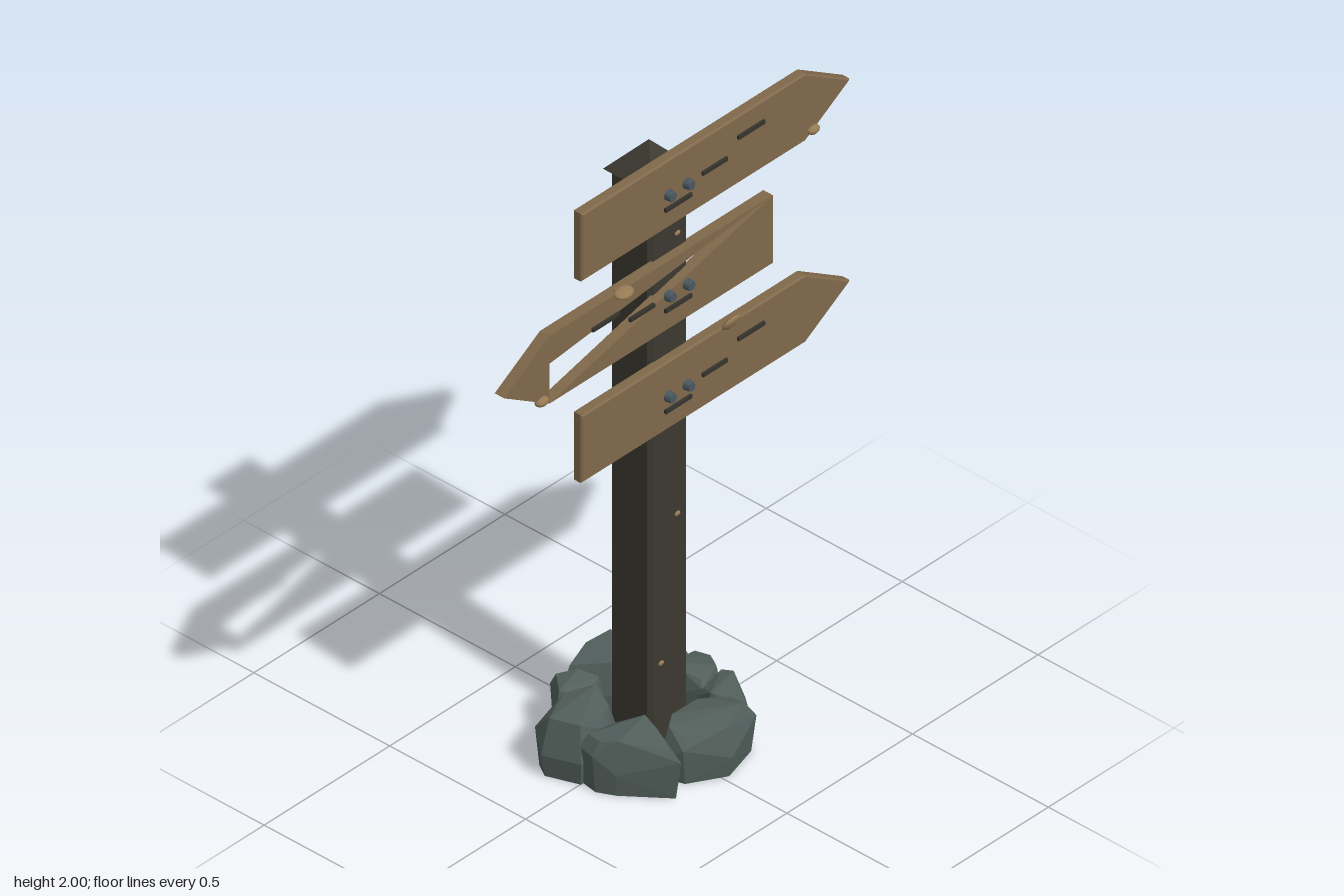
import * as THREE from 'three';
import { ConvexGeometry } from 'three/addons/geometries/ConvexGeometry.js';

const mat = (name, color) => {
  const m = new THREE.MeshStandardMaterial({ color });
  m.name = name;
  return m;
};

export function createModel() {
  const root = new THREE.Group();
  root.name = 'signpost';
  const wood = mat('board wood', 0x80694b);
  const darkWood = mat('post wood', 0x3b3930);
  const knotWood = mat('knot wood', 0x977a54);
  const stone = mat('stone', 0x525f5b);
  const iron = mat('bolt iron', 0x4a5860);
  const groove = mat('groove', 0x35332d);

  const add = (parent, name, geo, material, x = 0, y = 0, z = 0) => {
    const m = new THREE.Mesh(geo, material);
    m.name = name;
    m.position.set(x, y, z);
    parent.add(m);
    return m;
  };
  const shape = (pts) => new THREE.Shape(pts.map(([x, y]) => new THREE.Vector2(x, y)));

  // Post with chamfered corners, and its pyramid cap
  const h = 0.077, c = 0.064, postZ = -0.008;
  const postGeo = new THREE.ExtrudeGeometry(
    shape([[-c, -h], [c, -h], [h, -c], [h, c], [c, h], [-c, h], [-h, c], [-h, -c]]),
    { depth: 1.86, bevelEnabled: false });
  postGeo.rotateX(-Math.PI / 2);
  add(root, 'post', postGeo, darkWood, 0, 0.04, postZ);
  const capGeo = new THREE.ConeGeometry(0.088 * Math.SQRT2, 0.095, 4).toNonIndexed();
  capGeo.rotateY(Math.PI / 4);
  capGeo.computeVertexNormals();
  add(root, 'postCap', capGeo, darkWood, 0, 1.9475, postZ);

  // Arrow boards; side is +1 or -1 for the way the arrow points
  const zBack = 0.062, zFront = 0.097, H = 0.1125;
  function board(name, y, side, polygons, bevel) {
    const g = new THREE.Group();
    g.name = name;
    g.position.y = y;
    root.add(g);
    for (const pts of polygons) {
      const opts = bevel
        ? { depth: zFront - zBack - 0.01, bevelEnabled: true, bevelSize: 0.005, bevelThickness: 0.005, bevelOffset: -0.005, bevelSegments: 1 }
        : { depth: zFront - zBack, bevelEnabled: false };
      add(g, 'plank', new THREE.ExtrudeGeometry(shape(pts), opts), wood, 0, 0, zBack + (bevel ? 0.005 : 0));
    }
    // Carved marks
    [[0, -0.045, 0.105], [0.145, 0, 0.098], [0.29, 0.045, 0.105]].forEach(([x, dy, w]) =>
      add(g, 'carvedMark', new THREE.BoxGeometry(w, 0.012, 0.009), groove, x * side, dy, zFront + 0.003));
    // Bolts
    for (const x of [-0.038, 0.036]) {
      const b = new THREE.CylinderGeometry(0.014, 0.017, 0.022, 8);
      b.rotateX(Math.PI / 2);
      add(g, 'bolt', b, iron, x, 0, zFront + 0.01);
    }
  }
  const arrow = [[-0.38, -H], [0.51, -H], [0.69, 0], [0.51, H], [-0.38, H]];
  board('topBoard', 1.882, 1, [arrow], true);
  board('bottomBoard', 1.212, 1, [arrow], true);
  // Split middle board: arrow end with upper strip, and lower wedge
  board('middleBoard', 1.547, -1, [
    [[-0.69, 0], [-0.51, -H], [-0.51, 0.02], [0.38, H], [-0.51, H]],
    [[-0.51, -H], [0.38, -H], [0.38, H]],
  ], false);

  // Knots: flattened discs on boards and small ones on the post
  const knot = (x, y, z, rx, ry, rz, tilt = 0) => {
    const k = add(root, 'knot', new THREE.SphereGeometry(1, 12, 8), knotWood, x, y, z);
    k.scale.set(rx, ry, rz);
    k.rotation.x = tilt;
  };
  knot(0.21, 1.327, 0.1, 0.034, 0.028, 0.01, 0.5);
  knot(-0.22, 1.655, 0.103, 0.034, 0.011, 0.024, 0.2);
  knot(0.54, 1.795, 0.097, 0.022, 0.014, 0.016);
  knot(-0.54, 1.458, 0.097, 0.024, 0.014, 0.016);
  for (const [x, y] of [[0.03, 1.705], [0.03, 0.772], [-0.035, 0.308]])
    knot(x, y, postZ + h, 0.011, 0.008, 0.005);

  // Stones around the foot: footprint [x, z] and height
  const rocks = [
    [0.185, [[-0.33, -0.1], [-0.3, -0.15], [-0.17, -0.18], [-0.07, -0.12], [-0.1, -0.03], [-0.17, 0.01], [-0.29, 0.01]]],
    [0.165, [[-0.11, -0.27], [-0.19, -0.18], [-0.1, -0.13], [-0.02, -0.15], [-0.05, -0.22]]],
    [0.19, [[-0.09, -0.25], [0.03, -0.285], [0.13, -0.26], [0.11, -0.14], [0, -0.14]]],
    [0.18, [[0.01, -0.2], [0.08, -0.25], [0.17, -0.22], [0.25, -0.14], [0.23, -0.07], [0.15, -0.09], [0.05, -0.13]]],
    [0.135, [[0.15, -0.04], [0.16, -0.09], [0.28, -0.1], [0.285, -0.03], [0.24, 0.04], [0.17, 0.03]]],
    [0.15, [[0.13, 0.05], [0.24, 0.03], [0.25, 0.08], [0.19, 0.19], [0.15, 0.23], [0.1, 0.11]]],
    [0.165, [[-0.12, 0.14], [-0.1, 0.21], [0.02, 0.28], [0.16, 0.24], [0.18, 0.14], [0.08, 0.09], [-0.06, 0.1]]],
    [0.175, [[-0.29, 0.05], [-0.26, 0.11], [-0.15, 0.25], [-0.1, 0.15], [-0.08, 0.07], [-0.17, -0.01], [-0.28, -0.01]]],
  ];
  rocks.forEach(([height, foot], i) => {
    const cx = foot.reduce((s, p) => s + p[0], 0) / foot.length;
    const cz = foot.reduce((s, p) => s + p[1], 0) / foot.length;
    const pts = [];
    const ring = (s, y) => foot.forEach(([x, z], j) =>
      pts.push(new THREE.Vector3(cx + (x - cx) * s, y(j), cz + (z - cz) * s)));
    ring(0.9, () => 0);
    ring(1, (j) => height * (0.4 + 0.3 * ((j + i) % 2)));
    ring(0.78, (j) => height * (1 - 0.07 * ((j * 2 + i) % 3)));
    add(root, 'stone', new ConvexGeometry(pts), stone);
  });
  return root;
}
